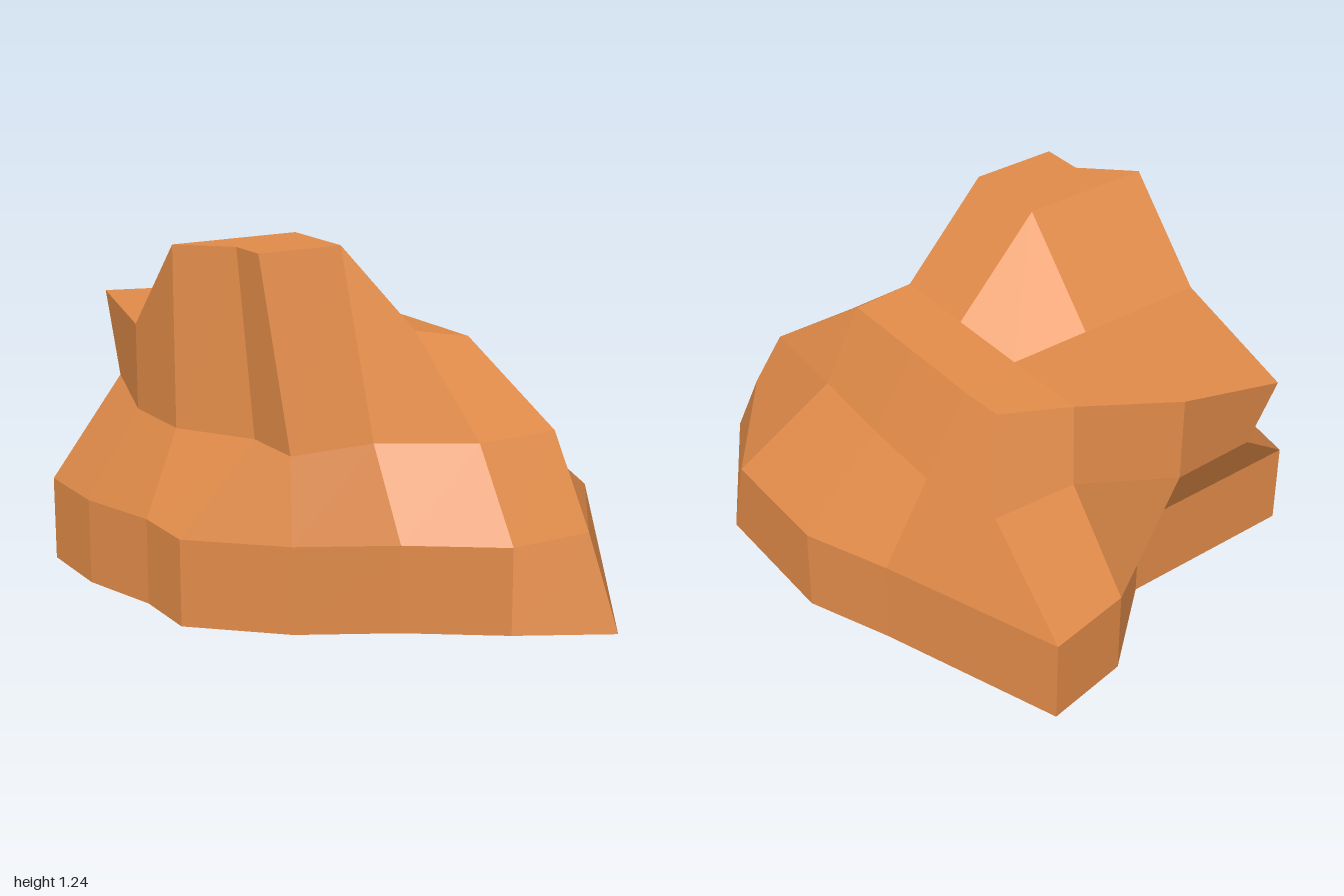
import * as THREE from 'three';

// Stacks one height with a list of [x, z] points into a ring of corners
const ring = (y, pts) => pts.map(([x, z]) => new THREE.Vector3(x, y, z));

// Flat-faced mesh from polygons; every polygon gets a single averaged normal
function facets(name, polygons, material) {
  const pos = [], nor = [];
  for (const poly of polygons) {
    const n = new THREE.Vector3();
    poly.forEach((p, i) => n.add(new THREE.Vector3().crossVectors(p, poly[(i + 1) % poly.length])));
    n.normalize();
    for (let i = 1; i < poly.length - 1; i++) {
      const tri = [poly[0], poly[i], poly[i + 1]];
      if (new THREE.Triangle(...tri).getArea() < 1e-6) continue;
      for (const p of tri) {
        pos.push(p.x, p.y, p.z);
        nor.push(n.x, n.y, n.z);
      }
    }
  }
  const g = new THREE.BufferGeometry();
  g.setAttribute('position', new THREE.Float32BufferAttribute(pos, 3));
  g.setAttribute('normal', new THREE.Float32BufferAttribute(nor, 3));
  const mesh = new THREE.Mesh(g, material);
  mesh.name = name;
  return mesh;
}

// Quads joining two rings with the same number of corners
const band = (lo, hi) => lo.map((p, i) => {
  const j = (i + 1) % lo.length;
  return [p, lo[j], hi[j], hi[i]];
});

export function createModel() {
  const group = new THREE.Group();
  group.name = 'rock';
  const stone = new THREE.MeshStandardMaterial({ color: 0xdf8a48 });
  stone.name = 'orange stone';

  // Rings run from the front tip, round the +x side, the back and the -x side
  const foot = [
    [0.47, 1], [0.8, 0.47], [0.81, -0.06], [0.69, -0.36], [0.47, -1], [0.16, -0.94], [-0.14, -0.68],
    [-0.81, -0.67], [-0.81, -0.36], [-0.73, -0.06], [-0.73, 0.19], [-0.45, 0.45], [-0.14, 0.62], [0.16, 0.83],
  ];
  const ground = ring(0, foot);
  const low = ring(0.305, [[0.47, 0.83], [0.8, 0.39], ...foot.slice(2)]);
  const mid = ring(0.61, [
    [0.47, 0.63], [0.49, 0.28], [0.515, -0.06], [0.525, -0.37], [0.47, -0.67], [0.16, -0.68], [-0.14, -0.86],
    [-0.45, -0.85], [-0.61, -0.36], [-0.61, -0.06], [-0.45, 0.2], [-0.45, 0.44], [-0.14, 0.45], [0.16, 0.63],
  ]);
  // The rim climbs from the side shelf over the back ledge to the peak
  const rim = [
    ...ring(0.88, [[0.36, 0.27], [0.36, 0.27], [0.36, -0.06], [0.36, -0.36]]),
    ...ring(0.89, [[0.36, -0.53]]),
    ...ring(0.915, [[0.16, -0.67], [-0.14, -0.86], [-0.45, -0.96], [-0.61, -0.36]]),
    ...ring(1.24, [[-0.61, -0.06], [-0.45, 0.09], [-0.45, 0.24], [-0.14, 0.24]]),
    ...ring(0.915, [[0.16, 0.24]]),
  ];

  // Sides
  group.add(facets('rockFoot', band(ground, low), stone));
  group.add(facets('rockSlope', band(low, mid), stone));
  group.add(facets('rockUpperWall', band(mid, rim), stone));

  // Top surfaces
  const [peak] = ring(1.24, [[-0.14, -0.06]]);
  const [shelfMid, shelfBack, ledge] = ring(0.915, [[0.16, -0.06], [0.16, -0.36], [-0.14, -0.36]]);
  const r = rim;
  group.add(facets('peakTop', [[peak, r[9], r[10], r[11], r[12]]], stone));
  group.add(facets('peakSlopes', [
    [r[12], r[13], shelfMid, peak],
    [peak, shelfMid, shelfBack, ledge],
    [r[8], r[9], peak, ledge],
  ], stone));
  group.add(facets('sideShelf', [
    [r[13], r[0], r[2], shelfMid],
    [shelfMid, r[2], r[3], shelfBack],
    [shelfBack, r[3], r[4], r[5]],
  ], stone));
  group.add(facets('backLedge', [[r[6], r[7], r[8], ledge, shelfBack, r[5]]], stone));

  // Underside, fanned from a front corner
  const under = [...ground.slice(12), ...ground.slice(0, 12)];
  group.add(facets('underside', [[under[0], ...under.slice(1).reverse()]], stone));

  return group;
}
